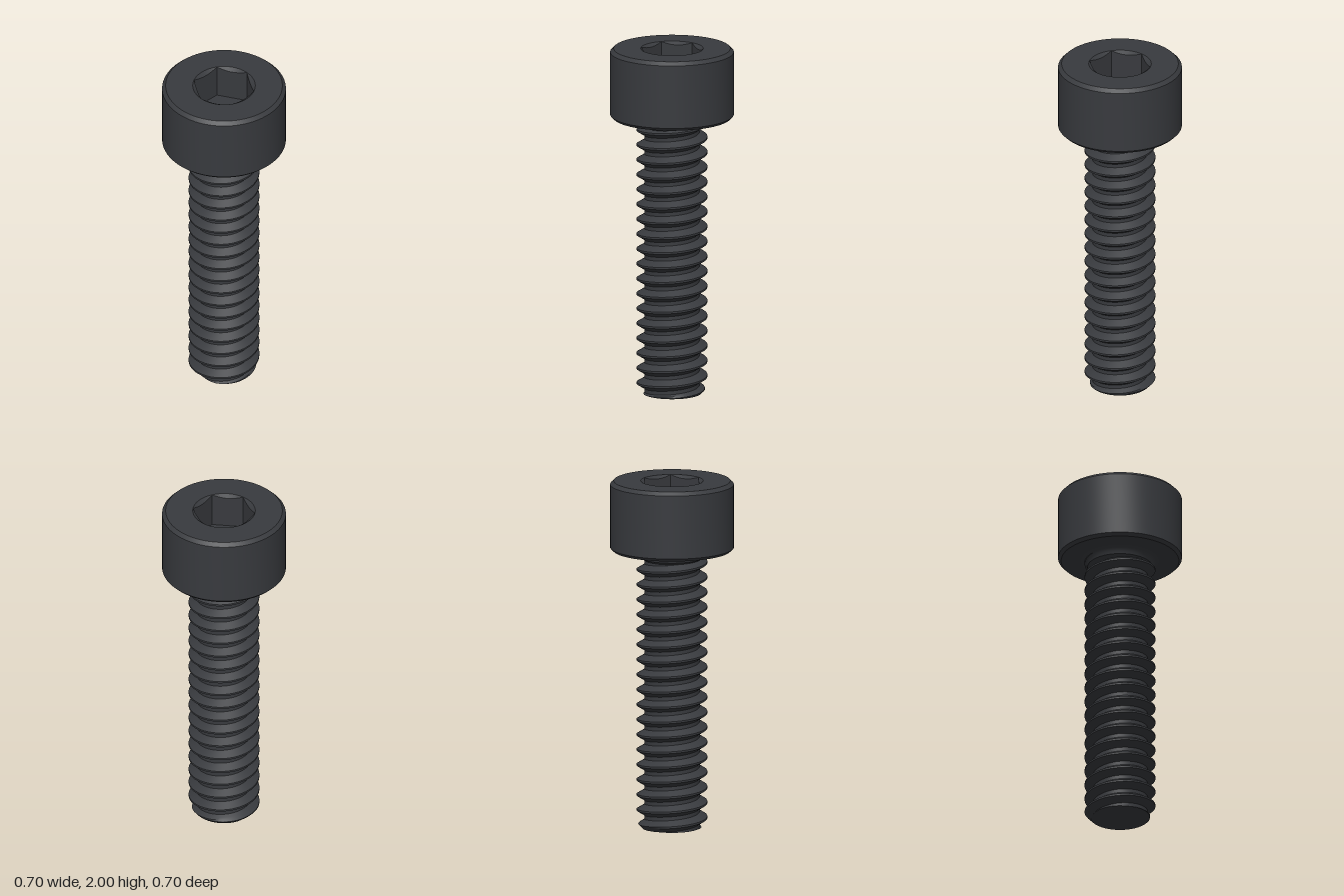
import * as THREE from 'three';
import { toCreasedNormals } from 'three/addons/utils/BufferGeometryUtils.js';

const SEG = 72;
const PITCH = 0.0865, CREST = 0.2, ROOT = 0.156;
const SHANK_TOP = 1.6, HEAD_TOP = 2;
const steel = new THREE.MeshStandardMaterial({ color: 0x383a3e });

// Closed-round surface; at(row, angle) returns [radius, y], empty triangles are skipped
function ringSurface(rows, at) {
  const positions = [];
  const point = (i, j) => {
    const a = (j / SEG) * Math.PI * 2;
    const [r, y] = at(i, a);
    return new THREE.Vector3(r * Math.cos(a), y, -r * Math.sin(a));
  };
  const tri = new THREE.Triangle();
  const add = (a, b, c) => {
    if (tri.set(a, b, c).getArea() > 1e-9) positions.push(...a, ...b, ...c);
  };
  for (let i = 0; i < rows - 1; i++) {
    for (let j = 0; j < SEG; j++) {
      const a = point(i, j), b = point(i, j + 1), c = point(i + 1, j + 1), d = point(i + 1, j);
      add(a, b, c);
      add(a, c, d);
    }
  }
  const geometry = new THREE.BufferGeometry();
  geometry.setAttribute('position', new THREE.Float32BufferAttribute(positions, 3));
  return toCreasedNormals(geometry, 0.5);
}

function addPart(group, name, geometry) {
  const mesh = new THREE.Mesh(geometry, steel);
  mesh.name = name;
  group.add(mesh);
}

function lathe(points) {
  const profile = points.map(([x, y]) => new THREE.Vector2(x, y));
  return toCreasedNormals(new THREE.LatheGeometry(profile, SEG), 0.5);
}

// Right-handed thread: height of one crest line at a given angle
const crestHeight = (a) => 1.51 + (PITCH * (a - Math.PI)) / (Math.PI * 2);

function threadRadius(a, y) {
  const turns = (y - crestHeight(a)) / PITCH;
  const d = Math.abs(turns - Math.round(turns));
  const k = THREE.MathUtils.clamp((0.375 - d) / (0.375 - 0.0625), 0, 1);
  // The end chamfer trims the first turn
  return Math.min(ROOT + (CREST - ROOT) * k, 0.168 + y);
}

function threadedShank() {
  const steps = [-1 / 16, 1 / 16, 1 / 6, 0.27, 3 / 8, 5 / 8, 0.73, 5 / 6];
  const turns = 22;
  return ringSurface(turns * steps.length + 1, (i, a) => {
    if (i === 0) return [0, 0];
    const n = i - 1;
    const turn = Math.floor(n / steps.length) - 19;
    const raw = crestHeight(a) + PITCH * (turn + steps[n % steps.length]);
    const y = THREE.MathUtils.clamp(raw, 0, SHANK_TOP);
    return [threadRadius(a, y), y];
  });
}

// Hexagonal recess with a conical lead-in; corners lie on the x axis
function hexSocket(rim, apothem, floorY) {
  const sector = Math.PI / 3;
  return ringSurface(4, (i, a) => {
    const local = a - sector * Math.floor(a / sector + 1e-6) - sector / 2;
    const hex = Math.min(rim, apothem / Math.cos(local));
    if (i === 0) return [rim, HEAD_TOP];
    if (i === 1) return [hex, HEAD_TOP - (rim - hex) * 0.7];
    return [i === 2 ? hex : 0, floorY];
  });
}

export function createModel() {
  const screw = new THREE.Group();
  screw.name = 'socketHeadScrew';

  // Cylindrical head, open at the socket
  addPart(screw, 'head', lathe([
    [0.15, 1.6], [0.333, 1.6], [0.35, 1.617], [0.35, 1.98], [0.33, HEAD_TOP], [0.177, HEAD_TOP],
  ]));
  addPart(screw, 'hexSocket', hexSocket(0.177, 0.153, 1.8));

  // Fillet between shank and head
  addPart(screw, 'neckFillet', lathe([
    [0.156, 1.545], [0.184, 1.56], [0.19, 1.578], [0.2, 1.591], [0.22, 1.6],
  ]));
  addPart(screw, 'threadedShank', threadedShank());

  return screw;
}
